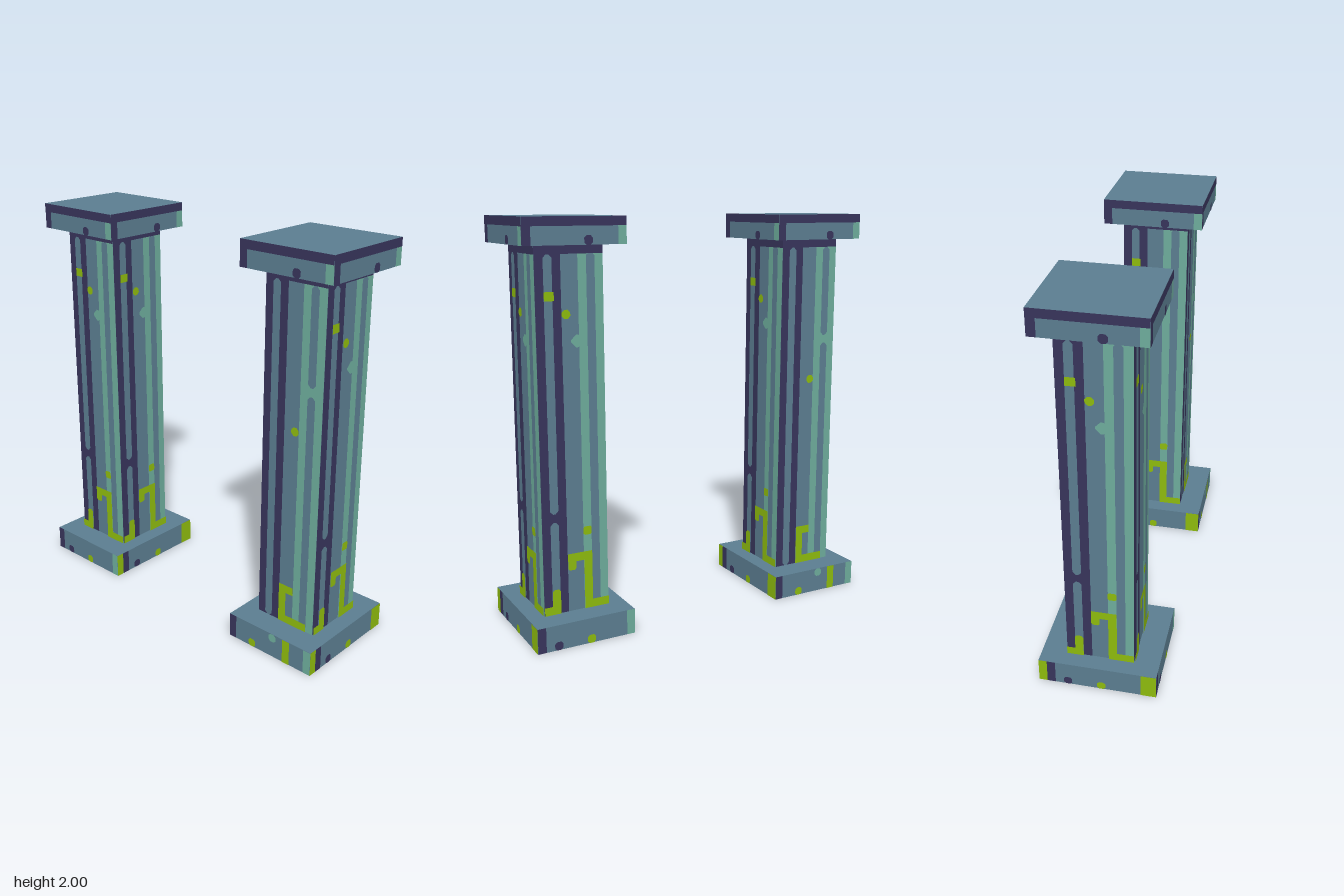
import * as THREE from 'three';
import { mergeGeometries } from 'three/addons/utils/BufferGeometryUtils.js';

const T = 1 / 24; // one painted cell

const makeMaterial = (name, color) => {
  const m = new THREE.MeshStandardMaterial({ color });
  m.name = name;
  return m;
};

// Painted patches: [colour, x0, y0, x1, y1, corner cut], in cells from the
// lower left corner of a face; later patches lie on top of earlier ones.
const flutes = [
  ['dark', 0, 0, 3, 42, 0],
  ['light', 5, 0, 8, 41, 0],
  ['dark', 0, 41, 8, 42, 0],
];

const shaftMossy = [
  ...flutes,
  ['stone', 1, 0, 2, 11, 0.35],
  ['stone', 1, 12, 2, 41, 0.35],
  ['stone', 6, 0, 7, 41, 0.2],
  ['light', 4, 30.8, 5.5, 32.2, 0.6],
  ['moss', 1, 36, 2.15, 37, 0],
  ['moss', 3, 34, 4, 35, 0.3],
  ['moss', 5, 9, 6, 10, 0.15],
  ['moss', 3, 6, 6, 7, 0],
  ['moss', 3, 5, 4, 6.3, 0.2],
  ['moss', 5, 0, 6, 7, 0],
  ['moss', 5, 0, 8, 1, 0],
  ['moss', 1, 0, 2, 3, 0.25],
  ['moss', 0, 0, 2, 1, 0],
];

const shaftPlain = [
  ...flutes,
  ['stone', 1, 0, 2, 41, 0.35],
  ['stone', 6, 0, 7, 29, 0.35],
  ['stone', 6, 30, 7, 41, 0.35],
  ['moss', 4, 24, 5, 25, 0.3],
  ['moss', 3, 4, 5, 5, 0],
  ['moss', 3, 0, 4, 5, 0],
  ['moss', 3, 0, 7, 1, 0],
];

const baseMossy = [
  ['dark', 0, 0, 1, 3, 0],
  ['light', 11, 0, 12, 3, 0],
  ['dark', 2, 0, 3, 1, 0.25],
  ['moss', 6, 0, 7, 1, 0.25],
];

const basePlain = [
  ['dark', 0, 0, 1, 3, 0],
  ['light', 11, 0, 12, 3, 0],
  ['moss', 3, 0, 4, 1, 0.25],
  ['light', 6, 2, 7, 3, 0.25],
  ['moss', 8, 0, 9, 3, 0],
];

const baseSide = [
  ['moss', 0, 0, 1, 3, 0],
  ['dark', 1, 0, 2, 3, 0],
  ['dark', 3, 0, 4, 1, 0.25],
  ['moss', 7, 0, 8, 1, 0.25],
  ['moss', 12.2, 0, 14, 3, 0],
];

const capFace = [
  ['dark', 0, 0, 1, 3, 0],
  ['light', 11, 0, 12, 2, 0],
  ['dark', 0, 2, 12, 3, 0],
  ['dark', 7, 0, 8, 1, 0.25],
];

// Flat rectangle with cut corners
function patch(x0, y0, x1, y1, c) {
  const pts = c
    ? [[x0 + c, y0], [x1 - c, y0], [x1, y0 + c], [x1, y1 - c],
       [x1 - c, y1], [x0 + c, y1], [x0, y1 - c], [x0, y0 + c]]
    : [[x0, y0], [x1, y0], [x1, y1], [x0, y1]];
  return new THREE.ShapeGeometry(new THREE.Shape(pts.map(([x, y]) => new THREE.Vector2(x * T, y * T))));
}

// One painted face, a mesh per colour, facing +z before turning
function paintedFace(name, patches, width, depth, turn, mats) {
  const face = new THREE.Group();
  face.name = name;
  const byColour = {};
  patches.forEach(([colour, ...box], i) => {
    const g = patch(...box).translate((-width / 2) * T, 0, (depth / 2) * T + 0.0004 * (i + 1));
    (byColour[colour] ??= []).push(g);
  });
  for (const [colour, list] of Object.entries(byColour)) {
    const mesh = new THREE.Mesh(mergeGeometries(list), mats[colour]);
    mesh.name = `${name} ${colour}`;
    face.add(mesh);
  }
  face.rotation.y = turn * Math.PI / 2;
  return face;
}

// Stone block with dark underside and four painted faces (front, left, back, right)
function block(name, w, h, d, y, faces, mats) {
  const group = new THREE.Group();
  group.name = name;
  const { stone, dark } = mats;
  const core = new THREE.Mesh(
    new THREE.BoxGeometry(w * T, h * T, d * T).translate(0, (h * T) / 2, 0),
    [stone, stone, stone, dark, stone, stone]);
  core.name = `${name} core`;
  group.add(core);
  faces.forEach((patches, i) => {
    const [fw, fd] = i % 2 ? [d, w] : [w, d];
    group.add(paintedFace(`${name} face ${i + 1}`, patches, fw, fd, i, mats));
  });
  group.position.y = y * T;
  return group;
}

function pillar(name, mats) {
  const group = new THREE.Group();
  group.name = name;
  group.add(
    block('base', 12, 3, 14, 0, [basePlain, baseSide, baseMossy, baseSide], mats),
    block('shaft', 8, 42, 8, 3, [shaftPlain, shaftMossy, shaftMossy, shaftMossy], mats),
    block('cap', 12, 3, 12, 45, [capFace, capFace, capFace, capFace], mats));
  return group;
}

export function createModel() {
  const mats = {
    stone: makeMaterial('blue grey stone', 0x5b7d90),
    dark: makeMaterial('dark indigo stone', 0x37345b),
    light: makeMaterial('pale teal stone', 0x6dac9b),
    moss: makeMaterial('lime moss', 0x8dba0d),
  };
  const model = new THREE.Group();
  model.name = 'pillar pair';

  // The second pillar is the first one turned half round
  const left = pillar('left pillar', mats);
  left.position.x = 0.665;
  const right = pillar('right pillar', mats);
  right.position.x = -0.665;
  right.rotation.y = Math.PI;
  model.add(left, right);
  return model;
}
